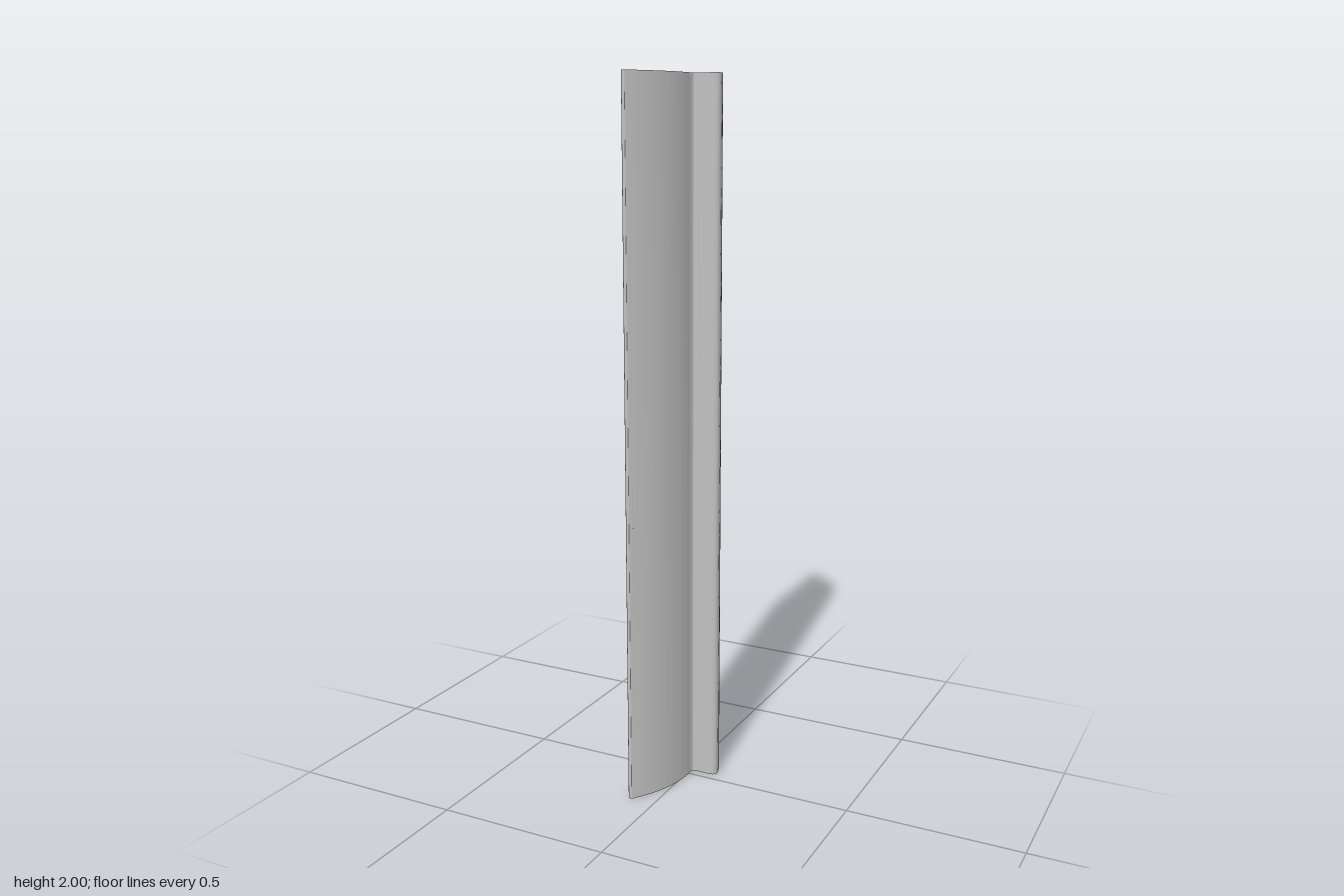
import * as THREE from 'three';
import { toCreasedNormals } from 'three/addons/utils/BufferGeometryUtils.js';

const HEIGHT = 2;

// Cross-section of the moulding: x across, y pointing to the back
function mouldingProfile() {
  const s = new THREE.Shape();
  s.moveTo(-0.082, 0.204);
  s.lineTo(-0.082, -0.202);
  // rounded front tip
  s.quadraticCurveTo(-0.082, -0.211, -0.073, -0.211);
  s.quadraticCurveTo(-0.067, -0.211, -0.062, -0.2);
  // shallow front curve
  s.absarc(-0.317, 0, 0.324, -0.665, 0.04, false);
  // inner fillet and step
  s.quadraticCurveTo(0.007, 0.024, 0.017, 0.024);
  s.lineTo(0.063, 0.024);
  // rounded nose
  s.bezierCurveTo(0.076, 0.024, 0.083, 0.034, 0.08, 0.045);
  // large rear curve
  s.absarc(-0.133, -0.011, 0.22, 0.257, 1.209, false);
  // small hollow and rounded back bead
  s.quadraticCurveTo(-0.061, 0.198, -0.064, 0.204);
  s.quadraticCurveTo(-0.069, 0.212, -0.074, 0.212);
  s.quadraticCurveTo(-0.082, 0.212, -0.082, 0.204);
  return s;
}

export function createModel() {
  const group = new THREE.Group();
  group.name = 'moulding';

  const grey = new THREE.MeshStandardMaterial({ color: 0xc0c0c0 });
  grey.name = 'grey';

  // Extrude upwards, with smooth curves and sharp ends
  const extruded = new THREE.ExtrudeGeometry(mouldingProfile(), {
    depth: HEIGHT,
    bevelEnabled: false,
    curveSegments: 16,
  });
  extruded.rotateX(-Math.PI / 2);

  const strip = new THREE.Mesh(toCreasedNormals(extruded, 0.5), grey);
  strip.name = 'mouldingStrip';
  group.add(strip);
  return group;
}
